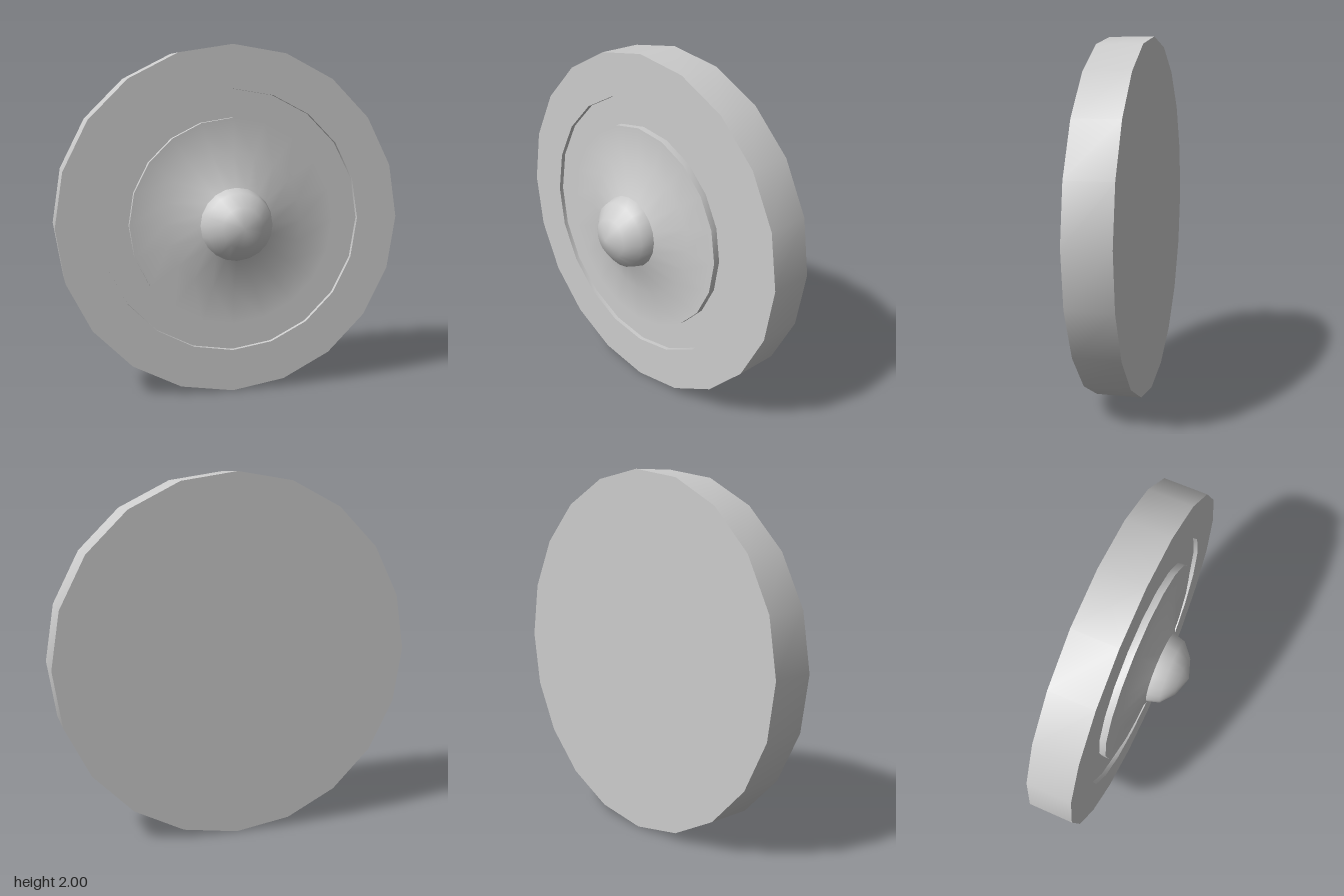
import * as THREE from 'three';
import { toCreasedNormals } from 'three/addons/utils/BufferGeometryUtils.js';

const SIDES = 20;

// Turn a profile of [radius, z] points around the z axis
function turned(name, profile, material) {
  const points = profile.map(([r, z]) => new THREE.Vector2(r, z));
  const geometry = new THREE.LatheGeometry(points, SIDES);
  geometry.rotateX(Math.PI / 2);
  const mesh = new THREE.Mesh(toCreasedNormals(geometry, 0.75), material);
  mesh.name = name;
  mesh.position.y = 1;
  return mesh;
}

export function createModel() {
  const group = new THREE.Group();
  group.name = 'roundDisc';
  const grey = new THREE.MeshStandardMaterial({ color: 0xcccccc });

  // Thick disc: flat back, rim, front ring and the sunken groove floor
  group.add(turned('disc', [
    [0, -0.255], [1, -0.255], [1, -0.005], [0.755, -0.005], [0.755, -0.03], [0.595, -0.03],
  ], grey));

  // Raised centre plate rising into a shallow cone
  group.add(turned('centrePlate', [
    [0.595, -0.03], [0.595, 0.008], [0.4, 0.008], [0.208, 0.08],
  ], grey));

  // Rounded knob
  group.add(turned('knob', [
    [0.208, 0.08], [0.188, 0.152], [0.112, 0.217], [0, 0.255],
  ], grey));

  return group;
}
